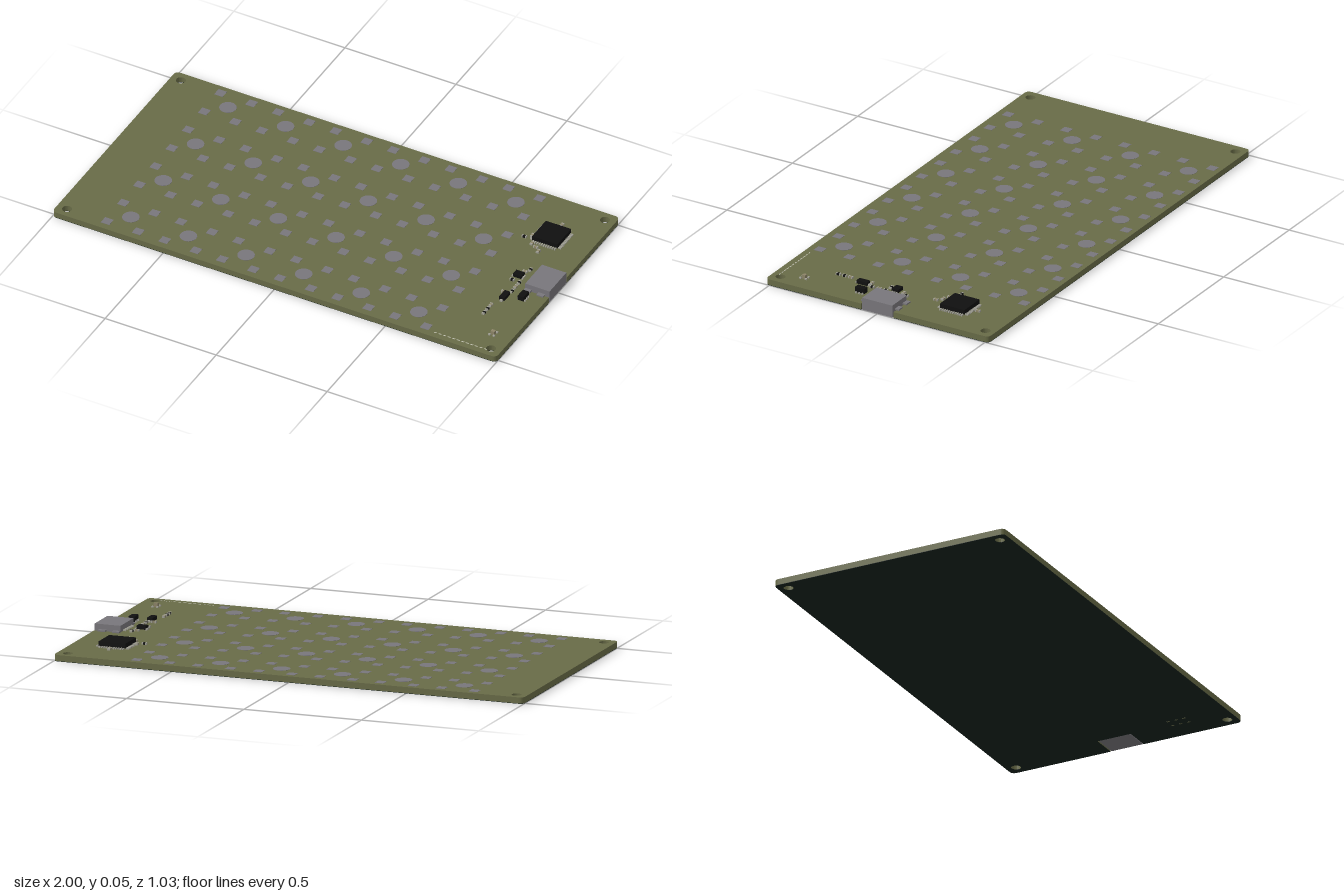
import * as THREE from 'three';

const TOP = 0.026; // upper face of the board

export function createModel() {
  const model = new THREE.Group();
  const mat = (name, color) => Object.assign(new THREE.MeshStandardMaterial({ color }), { name });
  const olive = mat('board olive', 0x686b47);
  const mask = mat('dark underside', 0x17231e);
  const metal = mat('pad metal', 0x78767b);
  const black = mat('chip black', 0x101010);
  const tin = mat('solder tin', 0xa09f94);
  const tan = mat('ceramic tan', 0x8c8468);
  const pale = mat('pale ink', 0xc4c4b4);

  const add = (name, geometry, material, x = 0, y = 0, z = 0, parent = model) => {
    const mesh = new THREE.Mesh(geometry, material);
    mesh.name = name;
    mesh.position.set(x, y, z);
    parent.add(mesh);
    return mesh;
  };
  // box resting on height y0
  const box = (name, material, x, z, w, d, h, y0 = TOP, parent = model) =>
    add(name, new THREE.BoxGeometry(w, h, d), material, x, y0 + h / 2, z, parent);

  // Board outline with rounded corners, connector notch and mounting holes
  const X = 1, Z = 0.517, R = 0.022;
  const outline = new THREE.Shape();
  outline.moveTo(-X + R, -Z);
  outline.lineTo(X - R, -Z);
  outline.quadraticCurveTo(X, -Z, X, -Z + R);
  outline.lineTo(X, -0.075);
  outline.lineTo(0.89, -0.075);
  outline.lineTo(0.89, 0.075);
  outline.lineTo(X, 0.075);
  outline.lineTo(X, Z - R);
  outline.quadraticCurveTo(X, Z, X - R, Z);
  outline.lineTo(-X + R, Z);
  outline.quadraticCurveTo(-X, Z, -X, Z - R);
  outline.lineTo(-X, -Z + R);
  outline.quadraticCurveTo(-X, -Z, -X + R, -Z);
  for (const x of [-0.955, 0.955]) for (const z of [-0.475, 0.475]) {
    outline.holes.push(new THREE.Path().absarc(x, z, 0.02, 0, Math.PI * 2, true));
  }
  const slab = (name, material, y0, y1) => {
    const g = new THREE.ExtrudeGeometry(outline, { depth: y1 - y0, bevelEnabled: false, curveSegments: 10 });
    g.rotateX(Math.PI / 2);
    add(name, g, material, 0, y1, 0);
  };
  slab('board', olive, 0.0015, TOP);
  slab('underside', mask, 0, 0.0015);

  // Key pads: a round pad with four square pads around it
  const disc = new THREE.CylinderGeometry(0.035, 0.035, 0.001, 28);
  const square = new THREE.BoxGeometry(0.038, 0.001, 0.038);
  for (let i = 0; i < 6; i++) for (let j = 0; j < 4; j++) {
    const pad = new THREE.Group();
    pad.name = 'keyPad';
    pad.position.set(-0.707 + i * 0.2595, TOP + 0.0005, -0.408 + j * 0.27);
    add('roundPad', disc, metal, 0, 0, 0, pad);
    for (const sx of [-1, 1]) for (const sz of [-1, 1]) {
      add('squarePad', square, metal, sx * 0.07, 0, sz * 0.068, pad);
    }
    model.add(pad);
  }

  // Connector sunk into the edge notch, with side flanges
  box('connector', metal, 0.945, 0, 0.11, 0.14, 0.052, 0.001);
  for (const s of [-1, 1]) for (const x of [0.905, 0.965]) {
    box('connectorFlange', metal, x, s * 0.078, 0.03, 0.02, 0.006);
  }
  for (let i = 0; i < 5; i++) box('connectorPin', tin, 0.884, -0.04 + i * 0.02, 0.014, 0.008, 0.006);

  // Main chip with leads on all four sides
  const chip = new THREE.Group();
  chip.name = 'mainChip';
  chip.position.set(0.823, 0, -0.275);
  box('chipBody', black, 0, 0, 0.114, 0.114, 0.02, TOP + 0.004, chip);
  for (let i = 0; i < 11; i++) {
    const t = -0.05 + i * 0.01;
    for (const s of [-1, 1]) {
      box('chipLead', tin, t, s * 0.063, 0.005, 0.014, 0.006, TOP, chip);
      box('chipLead', tin, s * 0.063, t, 0.014, 0.005, 0.006, TOP, chip);
    }
  }
  model.add(chip);

  // Black packages with tin leads: x, z, width, depth, height, lead axis
  for (const [x, z, w, d, h, axis] of [
    [0.829, 0.01, 0.038, 0.03, 0.017, 'x'],
    [0.912, 0.127, 0.026, 0.044, 0.024, 'x'],
    [0.845, 0.158, 0.024, 0.048, 0.018, 'z'],
  ]) {
    box('package', black, x, z, w, d, h - 0.003, TOP + 0.003);
    for (const s of [-1, 1]) {
      if (axis === 'z') box('packageLead', tin, x, z + s * (d / 2 + 0.003), w * 0.5, 0.01, 0.008);
      else for (const k of [-1, 0, 1]) {
        box('packageLead', tin, x + s * (w / 2 + 0.002), z + k * d * 0.33, 0.008, 0.006, 0.007);
      }
    }
  }

  // Tiny two-ended parts: x, z, axis, body material
  for (const [x, z, axis, body] of [
    [0.823, -0.36, 'z', tan], [0.727, -0.225, 'x', black], [0.775, -0.2, 'z', tan],
    [0.8, -0.185, 'x', tan], [0.822, -0.165, 'z', tan], [0.752, -0.245, 'z', tan],
    [0.852, -0.045, 'z', black], [0.838, -0.025, 'x', tan], [0.818, 0.045, 'x', black],
    [0.852, 0.05, 'z', black], [0.852, 0.08, 'z', tan], [0.853, 0.112, 'z', black],
    [0.826, 0.13, 'x', tan], [0.822, 0.23, 'z', tan], [0.822, 0.258, 'z', black],
    [0.822, 0.287, 'z', black],
  ]) {
    const part = new THREE.Group();
    part.name = 'smallPart';
    part.position.set(x, 0, z);
    if (axis === 'z') part.rotation.y = Math.PI / 2;
    box('partBody', body, 0, 0, 0.01, 0.011, 0.008, TOP, part);
    for (const s of [-1, 1]) box('partEnd', tin, s * 0.0075, 0, 0.005, 0.012, 0.0085, TOP, part);
    model.add(part);
  }

  // Indicator light near the corner
  box('indicator', tan, 0.917, 0.387, 0.016, 0.014, 0.016);
  for (const sx of [-1, 1]) for (const sz of [-1, 1]) {
    box('indicatorLead', tin, 0.917 + sx * 0.01, 0.387 + sz * 0.013, 0.009, 0.009, 0.005);
  }

  // Printed dashes along the front edge
  for (let i = 0; i < 12; i++) box('printedDash', pale, 0.712 + i * 0.0205, 0.489, 0.013, 0.004, 0.0006);

  // Small marks under the connector corner
  for (let i = 0; i < 3; i++) for (const x of [0.86, 0.9]) {
    box('undersideMark', olive, x, 0.26 + i * 0.035, 0.006, 0.014, 0.0006, -0.0004);
  }
  return model;
}
